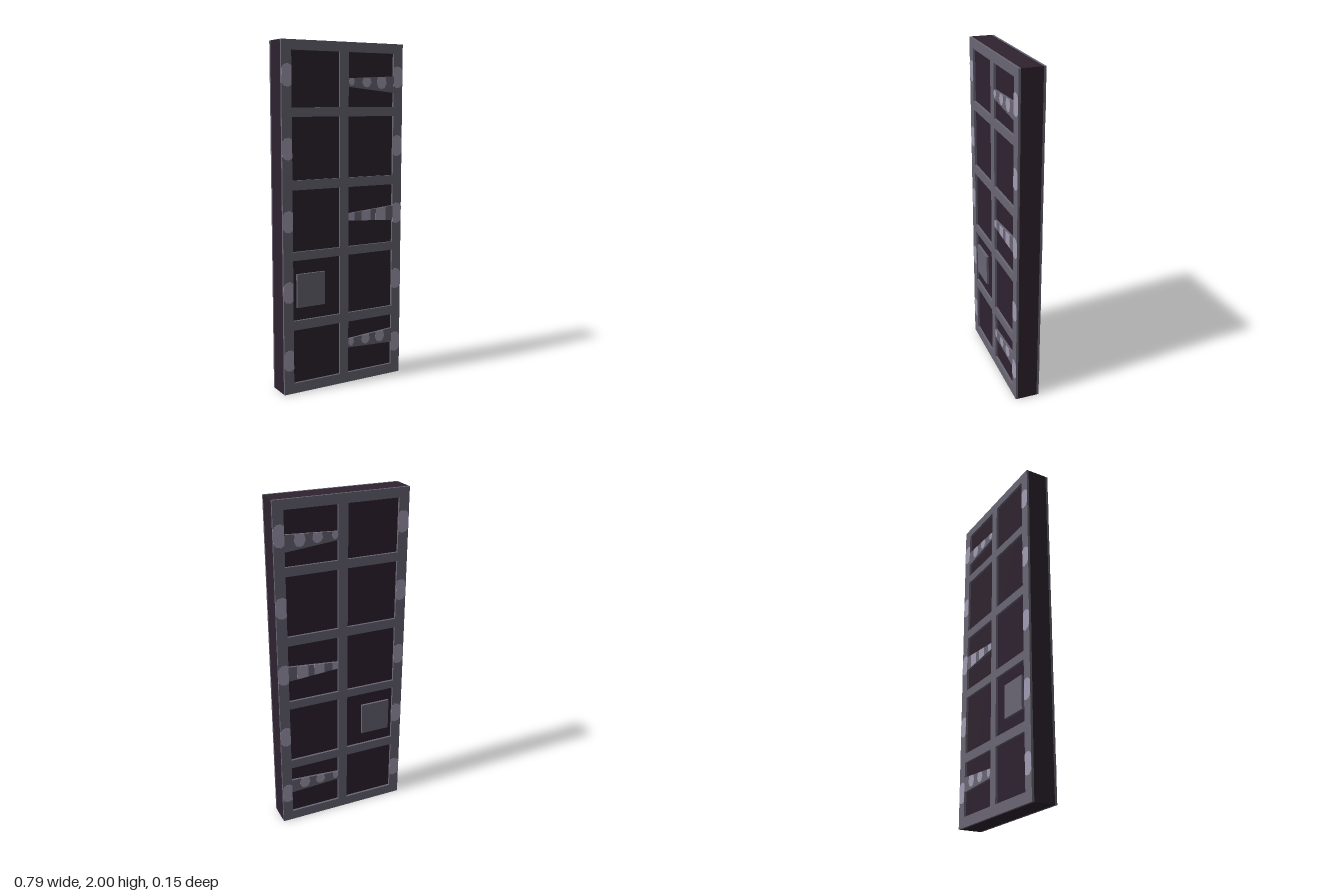
import * as THREE from 'three';

const W = 0.396, CORE = 0.06, FACE = 0.0735;

export function createModel() {
  const door = new THREE.Group();
  door.name = 'door';

  const mat = (name, color) => {
    const m = new THREE.MeshStandardMaterial({ color });
    m.name = name;
    return m;
  };
  const darkWood = mat('darkWood', 0x2e222f);
  const greyMetal = mat('greyMetal', 0x696674);
  const paleMetal = mat('paleMetal', 0xa29bb2);

  const polygon = (points) => new THREE.Shape(points.map(([x, y]) => new THREE.Vector2(x, y)));
  const rect = (x0, y0, x1, y1) => polygon([[x0, y0], [x1, y0], [x1, y1], [x0, y1]]);

  // The same flat plate on the front and on the back of the door
  const bothFaces = (name, shape, material, z0, depth) => {
    const geo = new THREE.ExtrudeGeometry(shape, { depth, bevelEnabled: false, curveSegments: 8 });
    for (const [side, z] of [['Front', z0], ['Back', -z0 - depth]]) {
      const mesh = new THREE.Mesh(geo, material);
      mesh.name = name + side;
      mesh.position.z = z;
      door.add(mesh);
    }
  };

  // Wooden core
  const core = new THREE.Mesh(new THREE.BoxGeometry(2 * W, 2, 2 * CORE), darkWood);
  core.name = 'core';
  core.position.y = 1;
  door.add(core);

  // Metal lattice with two columns of five openings
  const columns = [[-0.335, -0.03], [0.027, 0.335]];
  const rows = [[0.06, 0.375], [0.43, 0.78], [0.83, 1.18], [1.235, 1.585], [1.637, 1.945]];
  const lattice = rect(-W, 0, W, 2);
  for (const [x0, x1] of columns) {
    for (const [y0, y1] of rows) lattice.holes.push(rect(x0, y0, x1, y1));
  }
  bothFaces('lattice', lattice, greyMetal, CORE, FACE - CORE);

  // Lock plate
  bothFaces('lockPlate', rect(-0.31, 0.505, -0.13, 0.7), greyMetal, CORE, FACE - CORE);

  // Rounded studs along both outer edges
  for (const y of [0.2, 0.6, 1.005, 1.41, 1.81]) {
    for (const s of [-1, 1]) {
      const stud = polygon([
        [W, y - 0.04], [0.38, y - 0.058], [0.355, y - 0.063], [0.335, y - 0.052],
        [0.335, y + 0.052], [0.355, y + 0.063], [0.38, y + 0.058], [W, y + 0.04],
      ].map(([x, v]) => [s * x, v]));
      bothFaces('edgeStud', stud, paleMetal, FACE, 0.001);
    }
  }

  // Tapered hinge straps with pale inlays
  const straps = [
    { tip: [0.242, 0.272], root: [0.2, 0.288], tilt: 'down', tipY: [0.215, 0.268] },
    { root: [0.962, 1.052], tipY: [0.985, 1.025], banded: true },
    { root: [1.72, 1.815], tipY: [1.752, 1.8] },
  ];
  const x0 = 0.027, x1 = 0.335;
  for (const { root, tipY, banded } of straps) {
    const edge = (k, x) => THREE.MathUtils.lerp(tipY[k], root[k], (x - x0) / (x1 - x0));
    bothFaces('hingeStrap',
      polygon([[x0, tipY[0]], [x1, root[0]], [x1, root[1]], [x0, tipY[1]]]),
      greyMetal, CORE, FACE - CORE);
    for (const [cx, r] of [[0.047, 0.019], [0.148, 0.031], [0.25, 0.034]]) {
      const a = cx - r, b = cx + r;
      let inlay;
      if (banded) {
        inlay = polygon([[a, edge(0, a)], [b, edge(0, b)], [b, edge(1, b)], [a, edge(1, a)]]);
      } else {
        // Drop shape hanging from the upper edge of the strap
        const low = THREE.MathUtils.lerp(edge(0, cx), edge(1, cx), 0.15);
        const mid = (low + edge(1, cx)) / 2;
        inlay = polygon([
          [a, mid], [cx - r * 0.6, low + 0.006], [cx, low], [cx + r * 0.6, low + 0.006],
          [b, mid], [cx + r * 0.75, edge(1, cx + r * 0.75)], [cx - r * 0.75, edge(1, cx - r * 0.75)],
        ]);
      }
      bothFaces('strapInlay', inlay, paleMetal, FACE, 0.001);
    }
  }

  return door;
}
